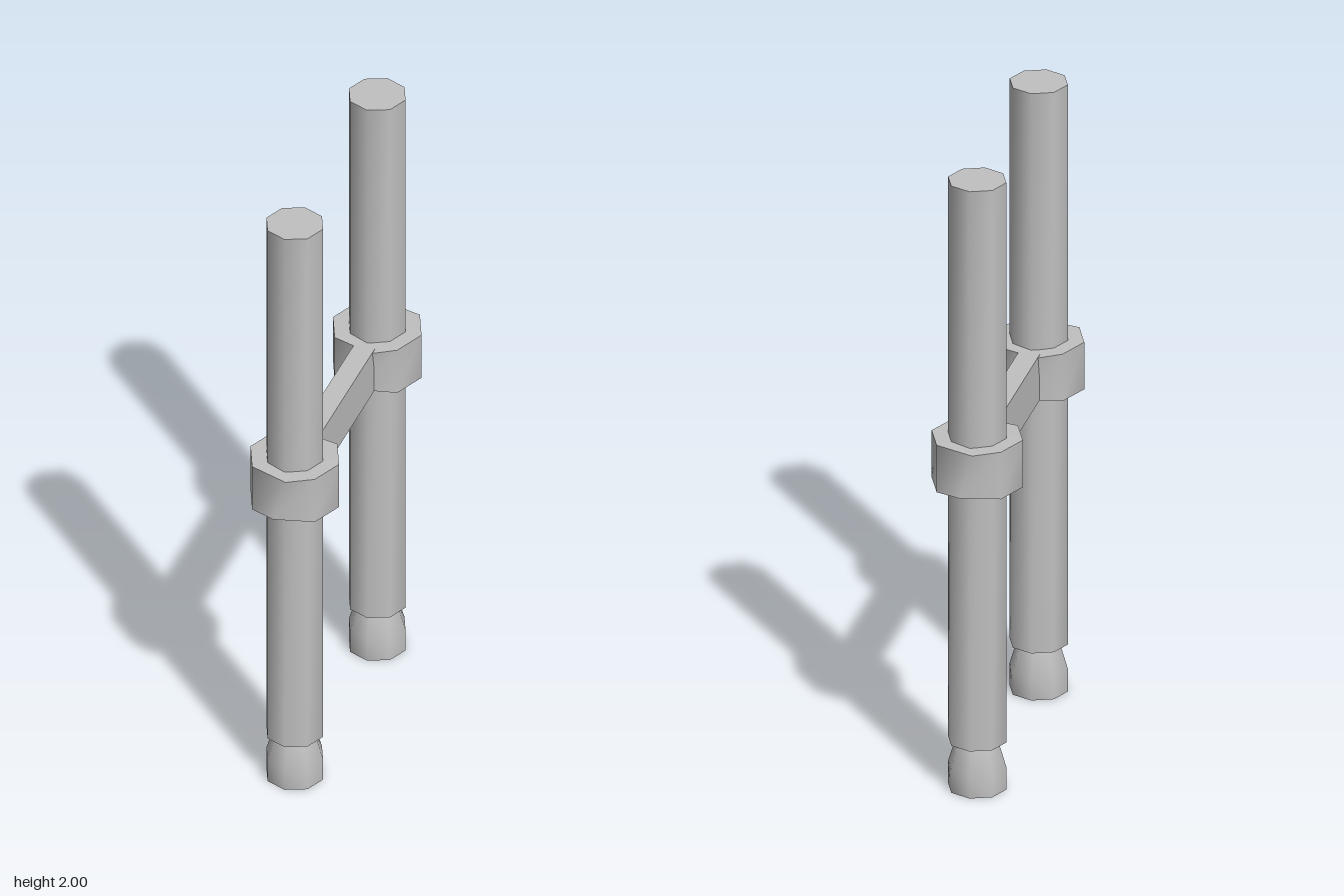
import * as THREE from 'three';
import { toCreasedNormals } from 'three/addons/utils/BufferGeometryUtils.js';

const SIDES = 8;
const POST_Z = 0.363;
const POST_RADIUS = 0.09;

export function createModel() {
  const model = new THREE.Group();
  model.name = 'twinPostFrame';
  const metal = new THREE.MeshStandardMaterial({ color: 0xc0c0c0 });
  metal.name = 'grey metal';

  const add = (parent, name, geometry, y) => {
    const mesh = new THREE.Mesh(toCreasedNormals(geometry, 1.05), metal);
    mesh.name = name;
    mesh.position.y = y;
    parent.add(mesh);
  };

  // Octagonal prism spanning two heights
  const prism = (top, bottom, height) => new THREE.CylinderGeometry(top, bottom, height, SIDES);

  // Collar whose inner and outer corner edges lean sideways
  const collarGeometry = () => {
    const geometry = prism(0.141, 0.141, 0.155);
    const p = geometry.attributes.position;
    for (let i = 0; i < p.count; i++) {
      if (Math.abs(p.getX(i)) > 0.01 || Math.abs(p.getZ(i)) < 0.1) continue;
      const up = Math.sign(p.getY(i));
      const outer = p.getZ(i) > 0;
      p.setXYZ(i, up * (outer ? 0.02 : -0.03), up * 0.072, outer ? 0.137 : -0.135);
    }
    return geometry;
  };

  // The two posts are half a turn apart
  for (const [side, turn] of [['front', 0], ['back', Math.PI]]) {
    const post = new THREE.Group();
    post.name = side + 'Post';
    post.position.z = turn ? -POST_Z : POST_Z;
    post.rotation.y = turn;
    add(post, side + 'Pole', prism(POST_RADIUS, POST_RADIUS, 1.845), 0.155 + 1.845 / 2);
    add(post, side + 'Collar', collarGeometry(), 1.08);

    // Foot: straight base tapering to a neck under the pole
    const footProfile = [[0, 0], [POST_RADIUS, 0], [POST_RADIUS, 0.075], [0.066, 0.155]]
      .map(([r, y]) => new THREE.Vector2(r, y));
    add(post, side + 'Foot', new THREE.LatheGeometry(footProfile, SIDES), 0);
    model.add(post);
  }

  // Crossbar between the collars
  add(model, 'crossbar', new THREE.BoxGeometry(0.066, 0.15, 0.5), 1.08);

  return model;
}
